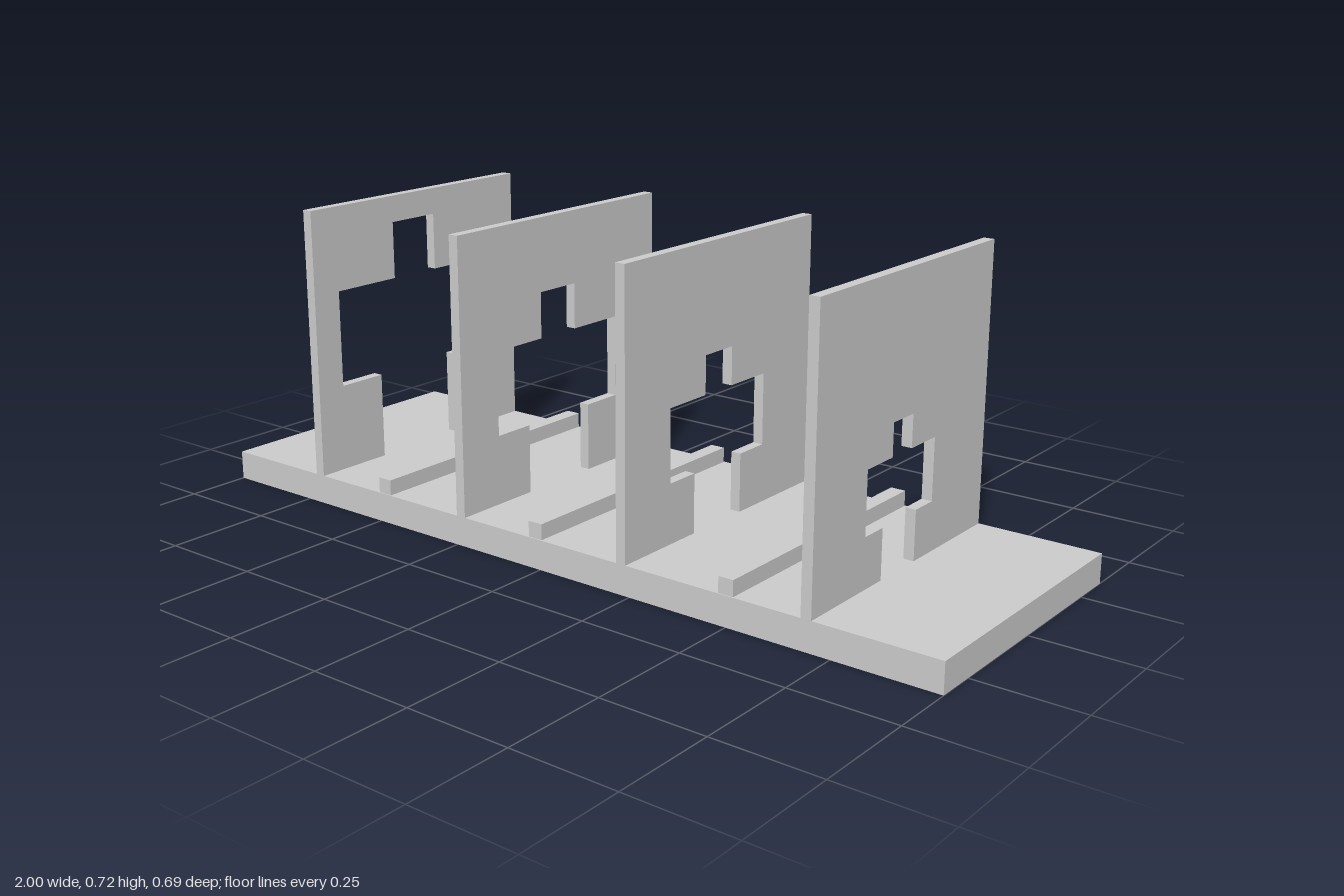
import * as THREE from 'three';

const DEPTH = 0.69, FLOOR = 0.07, TOP = 0.72, THICK = 0.025;
const material = new THREE.MeshStandardMaterial({ color: 0xcccccc, flatShading: true });

function block(name, w, h, d, x, y) {
  const mesh = new THREE.Mesh(new THREE.BoxGeometry(w, h, d), material);
  mesh.position.set(x, y + h / 2, 0);
  mesh.name = name;
  return mesh;
}

// Upright panel with a stepped cross-shaped opening that runs down to the floor
function panel({ x, stem, arm, bump, armLow, armTop, bumpTop }) {
  const half = DEPTH / 2, centre = -0.014;
  const side = [[stem, FLOOR], [stem, armLow], [arm, armLow], [arm, armTop], [bump, armTop], [bump, bumpTop]];
  const left = side.map(([u, y]) => [centre - u, y]);
  const right = side.map(([u, y]) => [centre + u, y]).reverse();
  const outline = [[-half, FLOOR], ...left, ...right, [half, FLOOR], [half, TOP], [-half, TOP]];
  const shape = new THREE.Shape(outline.map(([u, y]) => new THREE.Vector2(u, y)));
  const geometry = new THREE.ExtrudeGeometry(shape, { depth: THICK, bevelEnabled: false });
  geometry.rotateY(Math.PI / 2);
  const mesh = new THREE.Mesh(geometry, material);
  mesh.position.x = x;
  mesh.name = 'panel';
  return mesh;
}

export function createModel() {
  const group = new THREE.Group();
  group.name = 'slottedRack';
  group.add(block('base', 2, FLOOR, DEPTH, 0, 0));

  // Four panels, openings shrinking towards +x
  [
    { x: -0.72, stem: 0.128, arm: 0.255, bump: 0.07, armLow: 0.28, armTop: 0.515, bumpTop: 0.655 },
    { x: -0.25, stem: 0.107, arm: 0.212, bump: 0.06, armLow: 0.235, armTop: 0.435, bumpTop: 0.545 },
    { x: 0.215, stem: 0.0875, arm: 0.175, bump: 0.049, armLow: 0.21, armTop: 0.38, bumpTop: 0.47 },
    { x: 0.68, stem: 0.068, arm: 0.136, bump: 0.039, armLow: 0.186, armTop: 0.33, bumpTop: 0.405 },
  ].forEach((p) => group.add(panel(p)));

  // Low ridges across the floor between the panels
  for (const x of [-0.485, -0.015, 0.498]) {
    group.add(block('ridge', 0.037, 0.037, DEPTH - 0.005, x, FLOOR));
  }
  return group;
}
